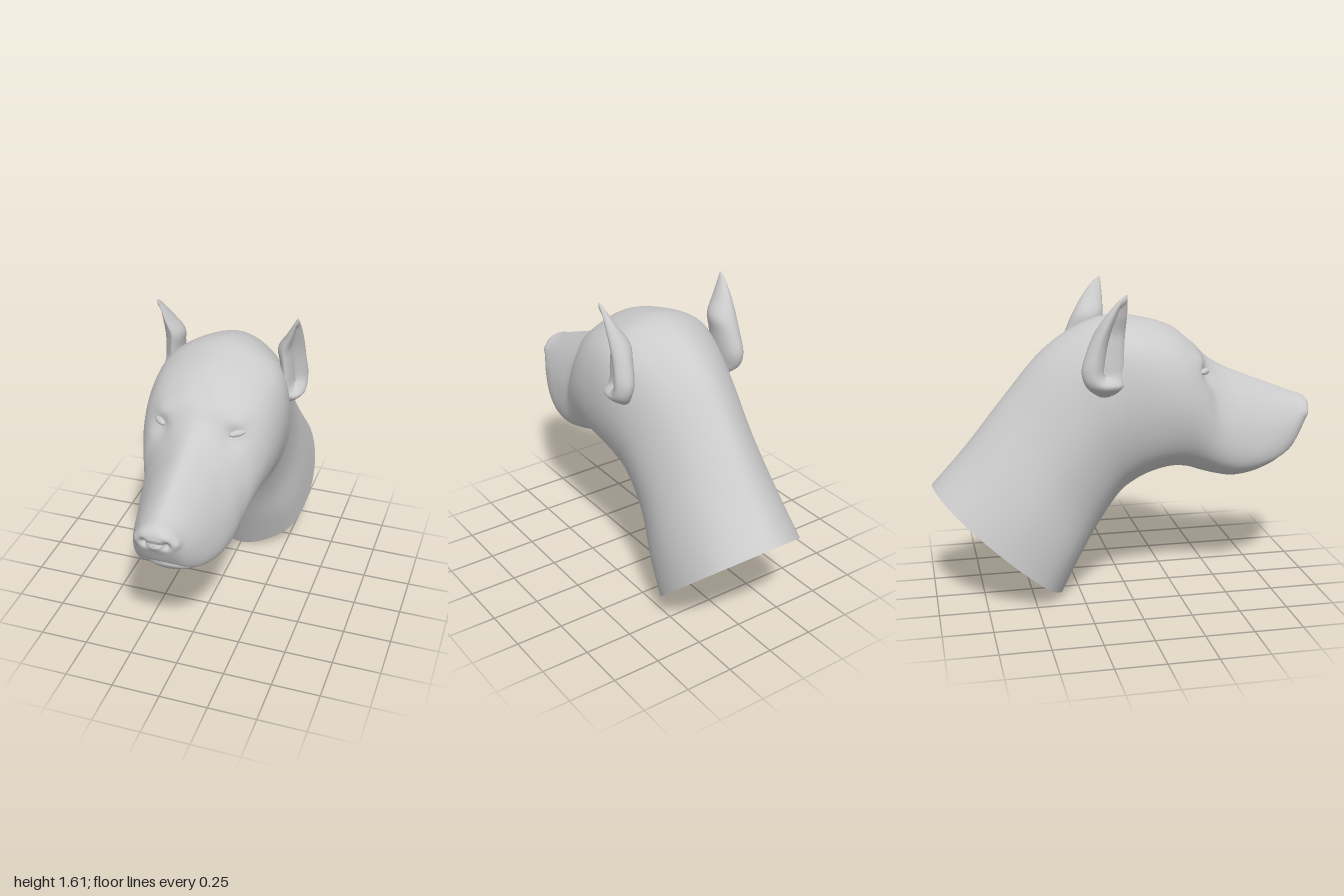
import * as THREE from 'three';

const V = (x, y, z) => new THREE.Vector3(x, y, z);
const MAT = new THREE.MeshStandardMaterial({ color: 0xcccccc, side: THREE.DoubleSide });

// Stations from the neck cut to the nose:
// top z, top y, bottom z, bottom y, half-widths low / middle / high
const STATIONS = [
  [-1.0, 0.61, -0.335, 0.0, 0.26, 0.335, 0.24],
  [-0.82, 0.81, -0.25, 0.17, 0.25, 0.325, 0.22],
  [-0.62, 1.06, -0.14, 0.36, 0.215, 0.305, 0.2],
  [-0.43, 1.28, -0.03, 0.52, 0.22, 0.31, 0.21],
  [-0.24, 1.41, 0.05, 0.585, 0.235, 0.33, 0.245],
  [-0.06, 1.46, 0.13, 0.625, 0.25, 0.345, 0.28],
  [0.1, 1.44, 0.23, 0.65, 0.25, 0.345, 0.275],
  [0.24, 1.395, 0.32, 0.645, 0.235, 0.325, 0.25],
  [0.35, 1.32, 0.4, 0.62, 0.225, 0.29, 0.205],
  [0.42, 1.24, 0.48, 0.597, 0.22, 0.255, 0.155],
  [0.52, 1.175, 0.57, 0.583, 0.215, 0.235, 0.13],
  [0.66, 1.115, 0.68, 0.6, 0.2, 0.205, 0.115],
  [0.8, 1.06, 0.79, 0.635, 0.165, 0.175, 0.1],
  [0.9, 1.02, 0.87, 0.69, 0.125, 0.145, 0.09],
  [0.96, 1.0, 0.93, 0.78, 0.09, 0.11, 0.08],
  [0.99, 0.975, 0.975, 0.865, 0.06, 0.08, 0.06],
  [1.0, 0.945, 0.997, 0.9, 0.03, 0.04, 0.03],
];

// Ear rings: y, centre x, centre z, radius x, radius z
const EAR = [
  [1.1, 0.29, -0.15, 0.02, 0.03],
  [1.16, 0.33, -0.16, 0.055, 0.09],
  [1.24, 0.33, -0.165, 0.065, 0.11],
  [1.34, 0.322, -0.15, 0.065, 0.097],
  [1.42, 0.318, -0.13, 0.067, 0.082],
  [1.5, 0.338, -0.105, 0.04, 0.058],
  [1.57, 0.353, -0.08, 0.016, 0.028],
  [1.61, 0.36, -0.06, 0.002, 0.003],
];

// Skin closed rings of equal size
function loft(rings) {
  const n = rings[0].length, pos = [], index = [];
  rings.forEach((ring) => ring.forEach((p) => pos.push(p.x, p.y, p.z)));
  for (let i = 0; i < rings.length - 1; i++) {
    for (let j = 0; j < n; j++) {
      const a = i * n + j, b = i * n + ((j + 1) % n);
      index.push(a, b, a + n, b, b + n, a + n);
    }
  }
  const g = new THREE.BufferGeometry();
  g.setAttribute('position', new THREE.Float32BufferAttribute(pos, 3));
  g.setIndex(index);
  g.computeVertexNormals();
  return g;
}

const collapse = (ring) => {
  const c = ring.reduce((s, p) => s.add(p), V(0, 0, 0)).divideScalar(ring.length);
  return ring.map(() => c.clone());
};

function named(name, geometry) {
  const m = new THREE.Mesh(geometry, MAT);
  m.name = name;
  return m;
}

// Local soft pushes, mirrored in x: centre, radius, offset
const PUSHES = [
  [V(0.2, 1.175, 0.41), 0.055, V(-0.012, 0, -0.025)], // eye socket
  [V(0.19, 1.25, 0.36), 0.06, V(0.005, 0, 0.012)], // brow
  [V(0.05, 0.915, 0.985), 0.022, V(0, 0, -0.035)], // nostril
  [V(0.09, 0.92, 0.95), 0.025, V(0.008, 0, 0.01)], // nose wing
  [V(0, 1.34, 0.34), 0.06, V(0, 0, -0.015)], // forehead furrow
];

function sculpt(p) {
  const q = p.clone(), side = p.x < 0 ? -1 : 1;
  const m = V(Math.abs(p.x), p.y, p.z);
  for (const [c, r, d] of PUSHES) {
    const k = Math.exp(-m.distanceToSquared(c) / (r * r));
    q.add(V(d.x * side, d.y, d.z).multiplyScalar(k));
  }
  // Arched mouth crease, with the chin set back beneath it
  if (p.z > 0.65) {
    const f = Math.min(1, (p.z - 0.65) / 0.1);
    const d = p.y - (0.755 - 3.2 * p.x * p.x);
    q.z -= f * (0.03 * Math.exp(-((d / 0.018) ** 2)) + (d < 0 ? 0.015 * Math.min(1, -d / 0.02) : 0));
  }
  return q;
}

function headRings(steps, sides) {
  const curve = (f) => new THREE.CatmullRomCurve3(STATIONS.map(f), false, 'catmullrom', 0.5);
  const top = curve((s) => V(0, s[1], s[0]));
  const bottom = curve((s) => V(0, s[3], s[2]));
  const width = curve((s) => V(s[4], s[5], s[6]));
  const rings = [];
  for (let i = 0; i <= steps; i++) {
    const t = i / steps, a = top.getPoint(t), b = bottom.getPoint(t), w = width.getPoint(t);
    const at = (x, v) => b.clone().lerp(a, v).setX(x);
    const outline = new THREE.CatmullRomCurve3([
      at(0, 0), at(w.x, 0.15), at(w.y, 0.5), at(w.z, 0.85),
      at(0, 1), at(-w.z, 0.85), at(-w.y, 0.5), at(-w.x, 0.15),
    ], true);
    rings.push(Array.from({ length: sides }, (_, j) => sculpt(outline.getPoint(j / sides))));
  }
  return rings;
}

// Cupped ear, hollow toward the outside and front
function ear(side) {
  const N = 40, steps = 42, rings = [];
  const place = new THREE.CatmullRomCurve3(EAR.map((e) => V(e[1], e[0], e[2])), false, 'catmullrom');
  const size = new THREE.CatmullRomCurve3(EAR.map((e) => V(e[3], 0, e[4])), false, 'catmullrom');
  for (let i = 0; i <= steps; i++) {
    const c = place.getPoint(i / steps), r = size.getPoint(i / steps);
    const cup = THREE.MathUtils.smoothstep(c.y, 1.16, 1.24) * (1 - THREE.MathUtils.smoothstep(c.y, 1.52, 1.6));
    const ring = [];
    for (let j = 0; j < N; j++) {
      const a = (j / N) * Math.PI * 2, x = Math.cos(a), z = -Math.sin(a);
      const k = 1 - 1.15 * cup * THREE.MathUtils.smoothstep(x * 0.78 + z * 0.62, 0.3, 0.85);
      ring.push(V(side * (c.x + r.x * x * k), c.y, c.z + r.z * z * k));
    }
    rings.push(side < 0 ? ring.reverse() : ring);
  }
  rings.unshift(collapse(rings[0]));
  rings.push(collapse(rings[rings.length - 1]));
  return named(side > 0 ? 'leftEar' : 'rightEar', loft(rings));
}

export function createModel() {
  const group = new THREE.Group();
  group.name = 'dogHead';

  // Neck, skull and muzzle as one skin
  const rings = headRings(144, 96);
  const rim = rings[0];
  group.add(named('headAndNeck', loft([...rings, collapse(rings[rings.length - 1])])));

  // Shallow recess in the neck cut
  const centre = collapse(rim)[0], inward = V(0, 0.743, 0.67).multiplyScalar(0.08);
  const floor = rim.map((p) => p.clone().lerp(centre, 0.27).add(inward));
  group.add(named('neckRecessWall', loft([floor, rim])));
  group.add(named('neckRecessFloor', loft([collapse(floor), floor])));

  for (const side of [1, -1]) {
    group.add(ear(side));
    // Narrow closed eyelid lying in the socket
    const lid = named(side > 0 ? 'leftEyelid' : 'rightEyelid', new THREE.SphereGeometry(1, 20, 12));
    lid.scale.set(0.045, 0.016, 0.018);
    lid.position.set(side * 0.195, 1.185, 0.375);
    lid.rotation.y = side * 0.75;
    group.add(lid);
  }
  return group;
}
